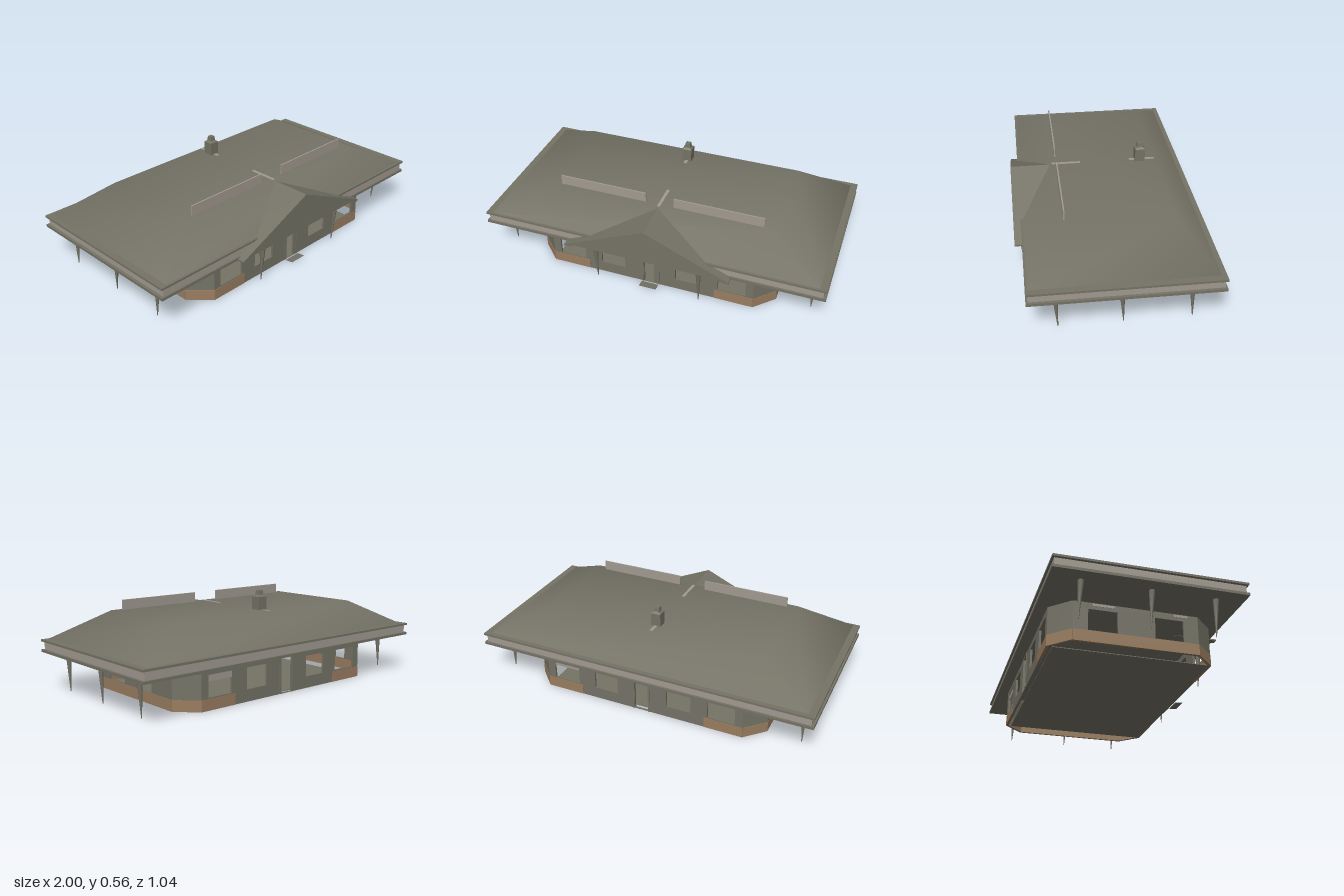
import * as THREE from 'three';

const mat = (name, color, side = THREE.FrontSide) => {
  const m = new THREE.MeshStandardMaterial({ color, side });
  m.name = name;
  return m;
};

export function createModel() {
  const model = new THREE.Group();
  model.name = 'house';
  const olive = mat('olive', 0x757366, THREE.DoubleSide);
  const taupe = mat('taupe', 0xa19a90);
  const brown = mat('brown', 0x9a7d60);

  const add = (name, geo, material, x = 0, y = 0, z = 0, parent = model) => {
    const m = new THREE.Mesh(geo, material);
    m.name = name;
    m.position.set(x, y, z);
    parent.add(m);
    return m;
  };
  // Box given by its limits on each axis
  const block = (name, material, x0, x1, y0, y1, z0, z1, parent) =>
    add(name, new THREE.BoxGeometry(x1 - x0, y1 - y0, z1 - z0), material,
      (x0 + x1) / 2, (y0 + y1) / 2, (z0 + z1) / 2, parent);
  const polygon = pts => new THREE.Shape(pts.map(p => new THREE.Vector2(...p)));
  const rect = (x0, x1, y0, y1) => polygon([[x0, y0], [x1, y0], [x1, y1], [x0, y1]]);

  // Walls: plates running from plan point a to b, outside on the right-hand normal
  const H = 0.225, T = 0.012, BASE = 0.062;
  const wall = (name, a, b, openings, bands) => {
    const dx = b[0] - a[0], dz = b[1] - a[1], len = Math.hypot(dx, dz);
    const g = new THREE.Group();
    g.name = name;
    g.position.set(a[0], 0, a[1]);
    g.rotation.y = Math.atan2(-dz, dx);
    const shape = rect(0, len, 0, H);
    for (const [u0, u1, y0, y1] of openings) shape.holes.push(rect(u0, u1, y0, y1));
    add('wallPanel', new THREE.ExtrudeGeometry(shape, { depth: T, bevelEnabled: false }),
      olive, 0, 0, -T, g);
    for (const [u0, u1] of bands) block('wainscot', brown, u0, u1, 0, BASE, -T - 0.001, 0.002, g);
    model.add(g);
  };
  const X = 0.712, XF = 0.605, ZF = 0.428, ZB = -0.457, C = 0.107;
  const W0 = 0.068, W1 = 0.188;
  const windows = [[-0.56, -0.4, W0, W1], [-0.3, -0.155, W0, W1], [0.15, 0.295, W0, W1], [0.4, 0.56, W0, W1]];
  const longBands = [[0, XF - 0.38], [XF + 0.38, 2 * XF]];
  const frontOpen = [...windows, [-0.037, 0.022, 0.004, 0.208]].map(([a, b, c, d]) => [a + XF, b + XF, c, d]);
  const backOpen = [...windows, [-0.04, 0.04, 0.004, 0.208]].map(([a, b, c, d]) => [XF - b, XF - a, c, d]);
  wall('frontWall', [-XF, ZF], [XF, ZF], frontOpen, longBands);
  wall('backWall', [XF, ZB], [-XF, ZB], backOpen, longBands);
  const sideLen = ZF - ZB - 2 * C, zf = ZF - C, zb = ZB + C;
  const leftOpen = [[0.085, 0.24], [-0.17, -0.065]].map(([a, b]) => [zf - b, zf - a, W0 - 0.003, W1 - 0.005]);
  const rightOpen = [[0.085, 0.24], [-0.27, -0.115]].map(([a, b]) => [a - zb, b - zb, W0 - 0.003, W1 - 0.005]);
  wall('leftWall', [X, zf], [X, zb], leftOpen, [[0, sideLen]]);
  wall('rightWall', [-X, zb], [-X, zf], rightOpen, [[0, sideLen]]);
  const cut = Math.hypot(X - XF, C);
  wall('frontLeftCorner', [XF, ZF], [X, zf], [], [[0, cut]]);
  wall('backLeftCorner', [X, zb], [XF, ZB], [], [[0, cut]]);
  wall('backRightCorner', [-XF, ZB], [-X, zb], [], [[0, cut]]);
  wall('frontRightCorner', [-X, zf], [-XF, ZF], [], [[0, cut]]);

  // Blind in one back window, and pale strips under the side eaves
  block('windowBlind', taupe, 0.4, 0.56, 0.153, W1, ZB + 0.003, ZB + 0.009);
  for (const s of [-1, 1]) {
    for (const [z0, z1] of [[0.19, 0.265], [-0.25, -0.13]]) {
      block('eaveStrip', taupe, s * X - 0.002, s * X + 0.002, 0.203, 0.216, z0, z1);
    }
  }

  // Rectangular floor, open at the corner bays
  block('floor', olive, -XF, XF, 0, 0.004, ZB + 0.03, ZF - T);

  // Door frames front and back, and the ramp
  for (const z of [ZF, ZB]) {
    for (const s of [-1, 1]) block('doorJamb', olive, s * 0.048 - 0.006, s * 0.048 + 0.006, 0, 0.212, z - 0.003, z + 0.003);
    block('doorHead', olive, -0.054, 0.054, 0.206, 0.216, z - 0.003, z + 0.003);
  }
  const ramp = add('ramp', new THREE.BoxGeometry(0.1, 0.003, 0.045), olive, 0, 0.005, 0.462);
  ramp.rotation.x = -0.12;

  // Eaves: lower lip, recessed fascia band, upper lip
  block('lowerEave', olive, -1, 1, 0.22, 0.235, -0.52, 0.485);
  block('fascia', taupe, -0.985, 0.985, 0.235, 0.28, -0.509, 0.475);
  block('upperEave', olive, -1, 1, 0.28, 0.292, -0.52, 0.485);

  // Hipped roof with a flat top, softly shaded
  const ring = (x, y, z0, z1) => [-x, y, z1, x, y, z1, x, y, z0, -x, y, z0];
  const roof = new THREE.BufferGeometry();
  roof.setAttribute('position', new THREE.Float32BufferAttribute(
    [...ring(0.965, 0.29, -0.495, 0.475), ...ring(0.66, 0.445, -0.32, 0.29)], 3));
  const faces = [4, 5, 6, 4, 6, 7];
  for (let i = 0; i < 4; i++) {
    const j = (i + 1) % 4;
    faces.push(i, j, j + 4, i, j + 4, i + 4);
  }
  roof.setIndex(faces);
  roof.computeVertexNormals();
  add('mainRoof', roof, olive);

  // Pale ridge strips on the flat top
  for (const [z0, z1] of [[0.12, 0.285], [-0.318, -0.17]]) {
    block('ridgeStrip', taupe, -0.009, 0.009, 0.443, 0.447, z0, z1);
  }

  // Porch gable: roof slabs with a recessed triangular face
  const slabs = new THREE.ExtrudeGeometry(polygon([
    [-0.485, 0.218], [-0.455, 0.218], [0, 0.425], [0.455, 0.218], [0.485, 0.218], [0.485, 0.226], [0, 0.441], [-0.485, 0.226],
  ]), { depth: 0.242, bevelEnabled: false });
  add('porchRoof', slabs, olive, 0, 0, 0.283);
  const gable = new THREE.ExtrudeGeometry(polygon([[-0.46, 0.219], [0.46, 0.219], [0, 0.428]]),
    { depth: 0.22, bevelEnabled: false });
  add('porchGable', gable, olive, 0, 0, 0.29);

  // Tapered posts, widest under the eaves
  const post = (x, z) => {
    const g = new THREE.CylinderGeometry(0.017, 0.002, 0.215, 8);
    const p = g.attributes.position;
    for (let i = 0; i < p.count; i++) if (p.getY(i) < 0) p.setZ(i, p.getZ(i) - 0.01);
    g.computeVertexNormals();
    add('post', g, olive, x, 0.1175, z);
  };
  for (const s of [-1, 1]) {
    post(s * 0.305, 0.49);
    for (const z of [0.338, 0, -0.36]) post(s * 0.912, z);
    // Upright boards on the roof
    block('roofBoard', taupe, s * 0.342 - 0.26, s * 0.342 + 0.26, 0.44, 0.502, 0.258, 0.266);
  }

  // Chimney with tapered cap and pot
  const shaped = (name, top, bottom, y0, y1) => {
    const g = new THREE.CylinderGeometry(top * Math.SQRT1_2, bottom * Math.SQRT1_2, y1 - y0, 4)
      .rotateY(Math.PI / 4).toNonIndexed();
    g.computeVertexNormals();
    add(name, g, olive, 0, (y0 + y1) / 2, -0.23);
  };
  shaped('chimney', 0.057, 0.057, 0.43, 0.52);
  shaped('chimneyCap', 0.034, 0.057, 0.52, 0.53);
  shaped('chimneyPot', 0.027, 0.034, 0.53, 0.555);

  return model;
}
